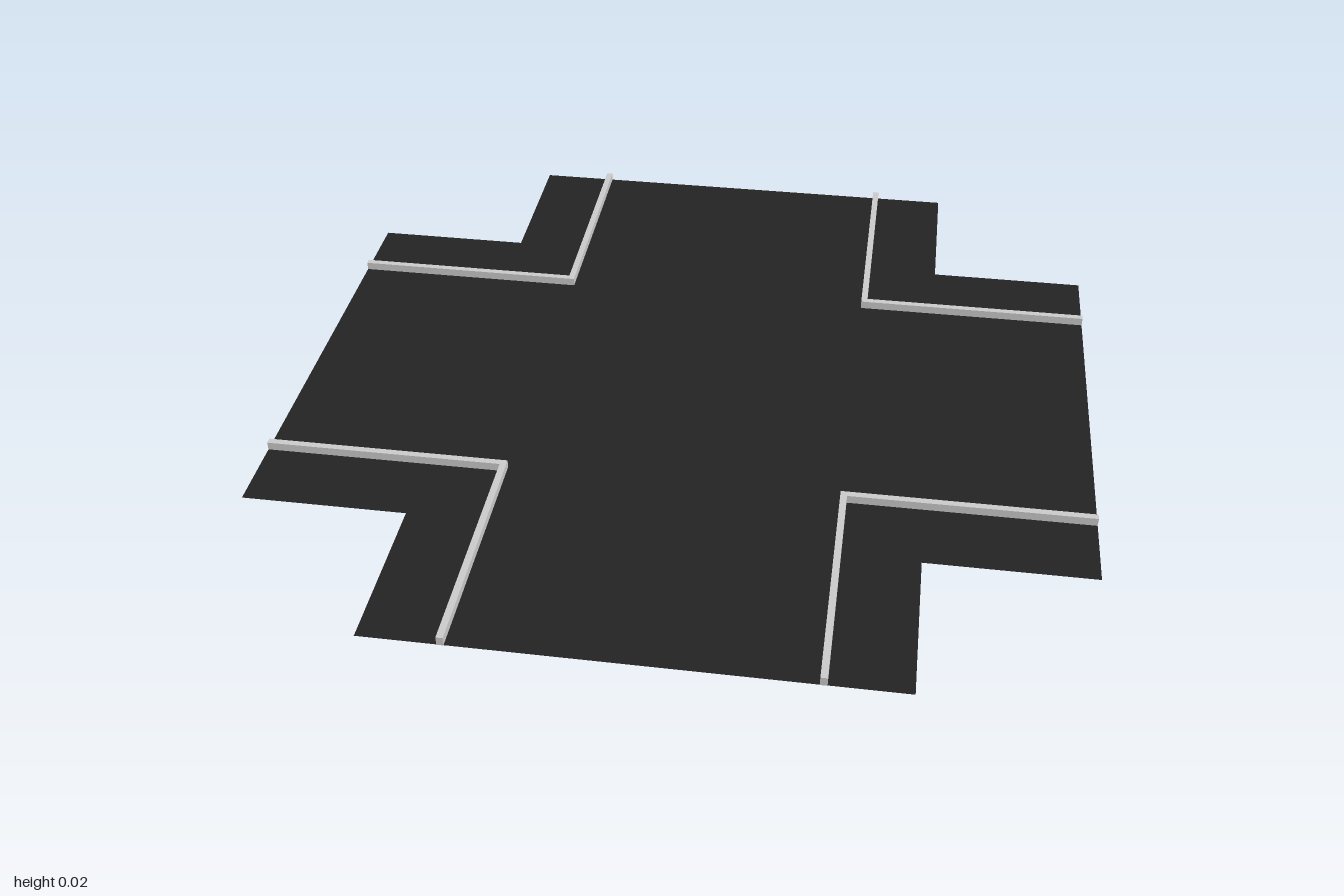
import * as THREE from 'three';

export function createModel() {
  const model = new THREE.Group();
  const asphalt = new THREE.MeshStandardMaterial({ color: 0x232323, side: THREE.DoubleSide });
  const stone = new THREE.MeshStandardMaterial({ color: 0xcccccc, flatShading: true });

  const half = 1, arm = 0.6;             // reach and half width of the crossing
  const inner = 0.402, width = 0.016, height = 0.022; // kerb

  // flat cross-shaped road surface
  const cross = new THREE.Shape([
    [arm, half], [-arm, half], [-arm, arm], [-half, arm], [-half, -arm], [-arm, -arm],
    [-arm, -half], [arm, -half], [arm, -arm], [half, -arm], [half, arm], [arm, arm],
  ].map(([x, y]) => new THREE.Vector2(x, y)));
  const road = new THREE.Mesh(new THREE.ShapeGeometry(cross).rotateX(-Math.PI / 2), asphalt);
  road.name = 'roadSurface';
  road.position.y = 0.001;
  model.add(road);

  // L-shaped kerb, one for each corner
  const o = inner + width;
  const corner = new THREE.Shape([
    [inner, inner], [half, inner], [half, o], [o, o], [o, half], [inner, half],
  ].map(([x, y]) => new THREE.Vector2(x, y)));
  const kerbGeometry = new THREE.ExtrudeGeometry(corner, { depth: height, bevelEnabled: false })
    .rotateX(-Math.PI / 2);
  ['backLeft', 'backRight', 'frontRight', 'frontLeft'].forEach((place, i) => {
    const kerb = new THREE.Mesh(kerbGeometry, stone);
    kerb.name = place + 'Kerb';
    kerb.rotation.y = i * Math.PI / 2;
    model.add(kerb);
  });
  return model;
}
